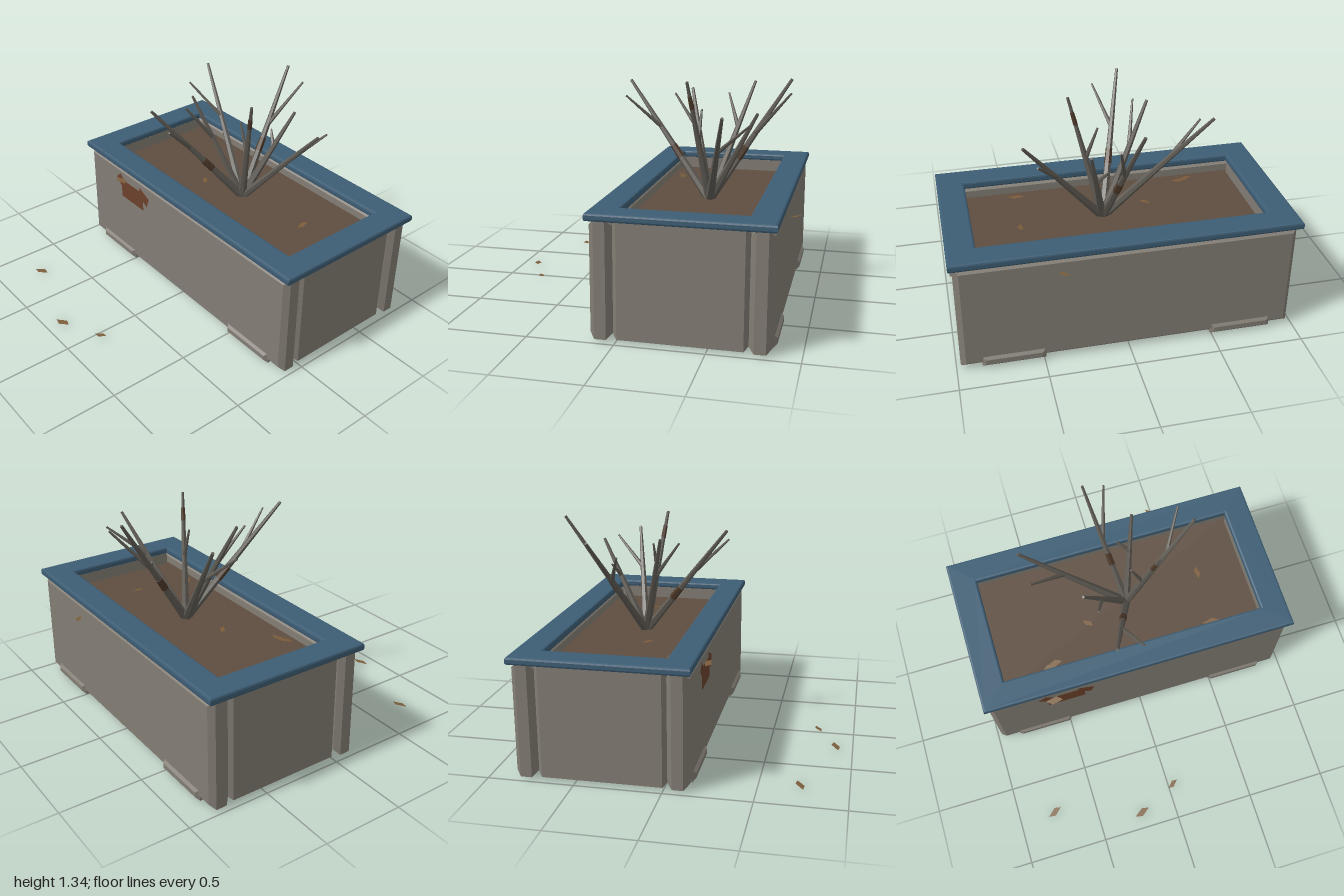
import * as THREE from 'three';

const mat = (name, color, extra = {}) => {
  const m = new THREE.MeshStandardMaterial({ color, flatShading: true, ...extra });
  m.name = name;
  return m;
};
const V = (x, y, z) => new THREE.Vector3(x, y, z);
const CZ = -0.35; // planter centre line in z

// Box with 45 degree chamfers, given by its minimum and maximum corners
function chamferBox(min, max, c) {
  const [w, h, d] = max.map((v, i) => v - min[i]);
  const x = w / 2 - c, y = h / 2 - c;
  const s = new THREE.Shape([[-x, -y], [x, -y], [x, y], [-x, y]].map(p => new THREE.Vector2(...p)));
  const g = new THREE.ExtrudeGeometry(s, { depth: d - 2 * c, bevelThickness: c, bevelSize: c, bevelSegments: 1 });
  g.translate((min[0] + max[0]) / 2, (min[1] + max[1]) / 2, min[2] + c);
  return g;
}

// Rectangular ring lying flat, with bevelled edges
function ring(ox, oz, ix, iz, y0, y1, b) {
  const rect = (x, z) => [[-x, -z], [x, -z], [x, z], [-x, z]].map(p => new THREE.Vector2(...p));
  const s = new THREE.Shape(rect(ox - b, oz - b));
  s.holes.push(new THREE.Path(rect(ix + b, iz + b).reverse()));
  const g = new THREE.ExtrudeGeometry(s, { depth: y1 - y0 - 2 * b, bevelThickness: b, bevelSize: b, bevelSegments: 2 });
  g.rotateX(-Math.PI / 2);
  g.translate(0, y0 + b, CZ);
  return g;
}

// Tapered six-sided rod between two points
function rod(a, b, r0, r1) {
  const dir = b.clone().sub(a);
  const g = new THREE.CylinderGeometry(r1, r0, dir.length(), 6);
  g.applyQuaternion(new THREE.Quaternion().setFromUnitVectors(V(0, 1, 0), dir.normalize()));
  const mid = a.clone().add(b).multiplyScalar(0.5);
  return g.translate(mid.x, mid.y, mid.z);
}

export function createModel() {
  const group = new THREE.Group();
  const concrete = mat('concrete grey', 0x827d74);
  const blue = mat('rim blue', 0x3d5d74);
  const earth = mat('soil brown', 0x5e4e40);
  const bark = mat('dead wood grey', 0x605c55);
  const dry = mat('dry bark brown', 0x4e3a2a);
  const rust = mat('rust brown', 0x6c412b, { side: THREE.DoubleSide });
  const leafMat = mat('dry leaf tan', 0x7a5c3a, { side: THREE.DoubleSide });
  const add = (name, geo, material, parent = group) => {
    const m = new THREE.Mesh(geo, material);
    m.name = name;
    parent.add(m);
    return m;
  };

  // Planter walls, open underneath
  add('frontWall', chamferBox([-0.975, 0.02, 0.02], [0.975, 0.685, 0.145], 0.03), concrete);
  add('backWall', chamferBox([-0.975, 0.02, -0.845], [0.975, 0.685, -0.72], 0.03), concrete);
  for (const s of [1, -1]) {
    const xs = [0.84 * s, 0.96 * s].sort((a, b) => a - b);
    add('sideWall', chamferBox([xs[0], 0.02, -0.72], [xs[1], 0.685, 0.02], 0.025), concrete);
    // Runner feet crossing under the planter
    const fx = [0.49 * s, 0.855 * s].sort((a, b) => a - b);
    add('foot', chamferBox([fx[0], 0.015, -0.86], [fx[1], 0.085, 0.16], 0.02), concrete);
  }

  // Painted rim and soil
  add('rim', ring(1, 0.51, 0.835, 0.35, 0.683, 0.728, 0.012), blue);
  add('soil', new THREE.BoxGeometry(1.72, 0.02, 0.76).translate(0, 0.6, CZ), earth);

  // Rust patch: one plate with two torn corners
  const patch = [[-0.61, 0.47], [-0.37, 0.47], [-0.37, 0.54], [-0.33, 0.515], [-0.305, 0.585],
    [-0.405, 0.63], [-0.41, 0.6], [-0.575, 0.6], [-0.62, 0.64], [-0.665, 0.595], [-0.61, 0.545]];
  add('rustPatch', new THREE.ShapeGeometry(new THREE.Shape(patch.map(p => new THREE.Vector2(...p))))
    .translate(0, 0, 0.149), rust);

  // Dead shrub: [main tip, fork position along the stem, side twig tip]
  const shrub = new THREE.Group();
  shrub.name = 'deadShrub';
  group.add(shrub);
  const base = V(0.05, 0.6, -0.34);
  const stems = [
    [[-0.54, 1.27, -0.53], 0.6, [-0.52, 1.19, -0.36]],
    [[-0.07, 1.34, -0.81], 0.55, [0.06, 1.27, -0.82]],
    [[-0.25, 1.25, -0.17], 0.6, [-0.19, 1.22, -0.07]],
    [[-0.16, 1.3, 0.21], 0.6, [0, 1.22, 0.2]],
    [[0.53, 1.18, -0.49], 0.6, [0.47, 1.13, -0.63]],
    [[0.23, 1.34, -0.23], 0.5, [0.07, 1.16, -0.29]],
    [[0.18, 1.16, -0.64], 0.6, [0.06, 1.02, -0.56]],
  ];
  stems.forEach(([t, f, w], i) => {
    const tip = V(...t), at = k => base.clone().lerp(tip, k);
    add('stem', rod(base, tip, 0.027, 0.009), bark, shrub);
    add('twig', rod(at(f), V(...w), 0.014, 0.006), bark, shrub);
    // Peeling brown bark on some stems
    if (i % 2) {
      const k = i === 5 ? 0.78 : 0.35;
      add('barkPatch', rod(at(k), at(k + 0.1), 0.029 - 0.018 * k, 0.027 - 0.018 * k), dry, shrub);
    }
  });

  // Fallen leaves: x, y, z, turn, size
  const leaves = [
    [-0.77, 0.015, 0.73, 0.4, 1], [-0.22, 0.018, 0.9, 0.3, 1.05], [0.03, 0.018, 0.78, 0.5, 0.8],
    [0.7, 0.008, 0, 0, 0.8], [-0.57, 0.62, 0.177, -0.15, 1.1], [0.385, 0.62, -0.9, -0.9, 0.75],
    [-0.51, 0.616, -0.055, 0.1, 1.1], [-0.56, 0.618, -0.035, 0.4, 0.9], [-0.23, 0.616, -0.26, -0.8, 0.8],
    [0.55, 0.618, -0.39, 1.5, 0.85], [0.525, 0.616, -0.04, -0.1, 1.1],
  ];
  const leafShape = new THREE.Shape([[-0.05, 0], [-0.01, -0.022], [0.05, 0], [0.015, 0.022]]
    .map(p => new THREE.Vector2(...p)));
  for (const [x, y, z, turn, size] of leaves) {
    const leaf = add('fallenLeaf', new THREE.ShapeGeometry(leafShape).rotateX(-Math.PI / 2), leafMat);
    leaf.position.set(x, y, z);
    leaf.rotation.set(0.08, turn, 0.05);
    leaf.scale.setScalar(size);
  }
  return group;
}
